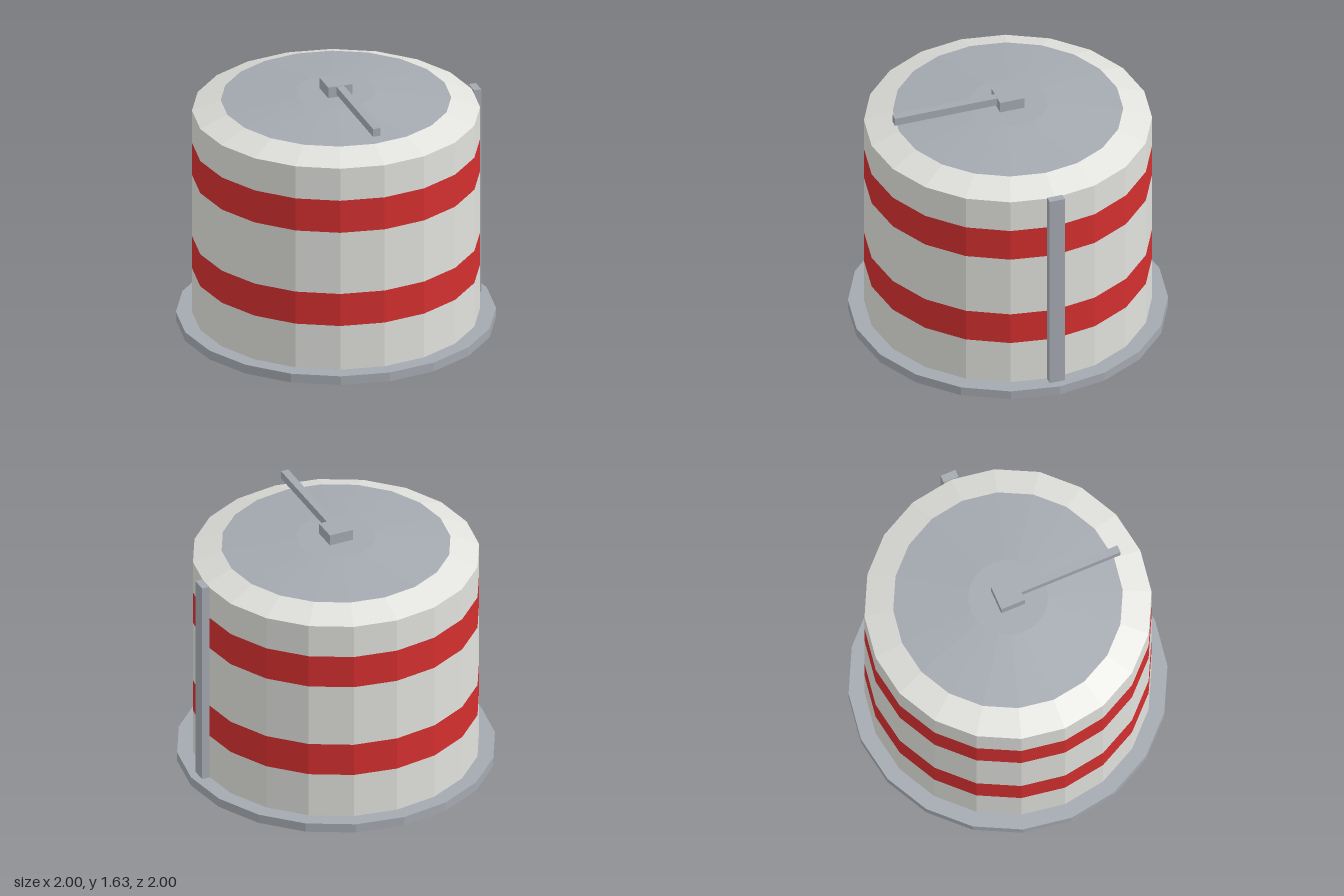
import * as THREE from 'three';

const SIDES = 20;

function material(name, color) {
  const m = new THREE.MeshStandardMaterial({ color, flatShading: true });
  m.name = name;
  return m;
}

export function createModel() {
  const tank = new THREE.Group();
  tank.name = 'storageTank';
  const white = material('white paint', 0xe0e0dc);
  const red = material('red paint', 0xd32f2f);
  const grey = material('grey metal', 0xa4a9b0);

  function add(name, geometry, mat, x, y, z) {
    const mesh = new THREE.Mesh(geometry, mat);
    mesh.name = name;
    mesh.position.set(x, y, z);
    tank.add(mesh);
  }

  // Faceted ring or frustum between two heights
  function ring(name, mat, y0, y1, r0, r1, open = true) {
    const geometry = new THREE.CylinderGeometry(r1, r0, y1 - y0, SIDES, 1, open);
    add(name, geometry, mat, 0, (y0 + y1) / 2, 0);
  }

  // Box given by its limits on each axis
  function box(name, mat, [x0, x1], [y0, y1], [z0, z1]) {
    add(name, new THREE.BoxGeometry(x1 - x0, y1 - y0, z1 - z0), mat,
      (x0 + x1) / 2, (y0 + y1) / 2, (z0 + z1) / 2);
  }

  // Foundation plate
  ring('basePlate', grey, 0, 0.06, 1, 1, false);

  // Wall in alternating white and red courses
  const levels = [0.06, 0.36, 0.58, 1.0, 1.22, 1.44];
  for (let i = 0; i < levels.length - 1; i++) {
    const striped = i % 2 === 1;
    ring(striped ? 'redBand' : 'wallCourse', striped ? red : white,
      levels[i], levels[i + 1], 0.9, 0.9);
  }

  // Roof: white shoulder, then a shallow grey cap with a flat centre
  ring('roofShoulder', white, 1.44, 1.51, 0.9, 0.72);
  ring('roofCap', grey, 1.51, 1.56, 0.72, 0.25, false);

  // Hub and arm on the roof
  box('roofHub', grey, [-0.08, 0.08], [1.56, 1.632], [-0.08, 0.08]);
  box('roofArm', grey, [-0.025, 0.025], [1.577, 1.63], [0.08, 0.755]);

  // Upright rail on the left side
  box('sideRail', grey, [0.897, 0.946], [0.06, 1.45], [-0.05, 0.05]);

  return tank;
}
